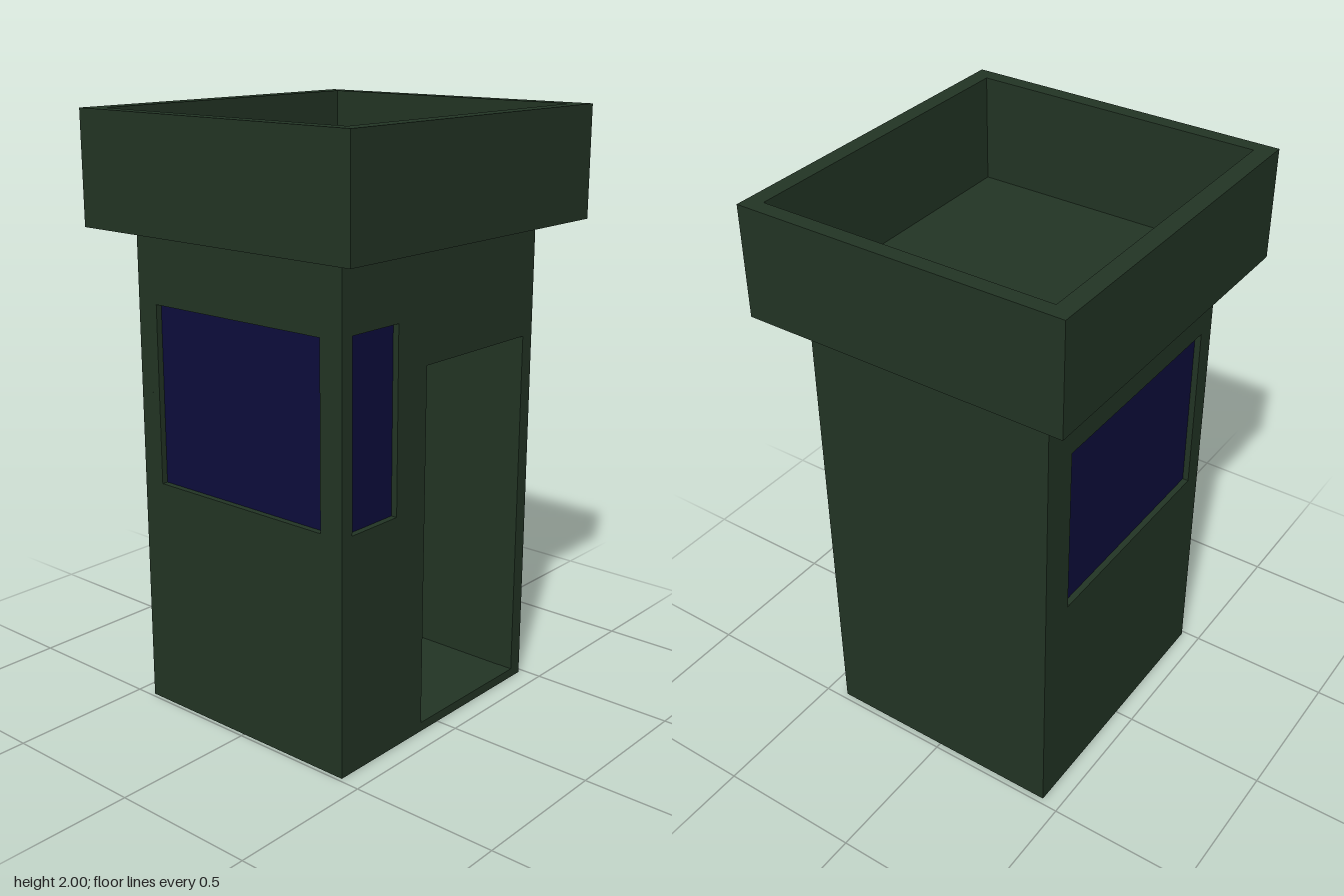
import * as THREE from 'three';

const T = 0.05; // wall thickness
const X0 = -0.487, X1 = 0.48, Z0 = -0.435, Z1 = 0.425; // tower body
const FLOOR = 0.03, DECK = 1.63, TOP = 2;

const rect = (Kind, u0, v0, u1, v1) => {
  const s = new Kind();
  s.moveTo(u0, v0);
  s.lineTo(u1, v0);
  s.lineTo(u1, v1);
  s.lineTo(u0, v1);
  s.closePath();
  return s;
};

// Rectangular plate with rectangular openings
const plate = (outer, holes, depth) => {
  const shape = rect(THREE.Shape, ...outer);
  holes.forEach(h => shape.holes.push(rect(THREE.Path, ...h)));
  return new THREE.ExtrudeGeometry(shape, { depth, bevelEnabled: false });
};

export function createModel() {
  const green = new THREE.MeshStandardMaterial({ color: 0x223424 });
  green.name = 'dark green';
  const blue = new THREE.MeshStandardMaterial({ color: 0x0c0c3c });
  blue.name = 'navy glass';

  const model = new THREE.Group();
  model.name = 'watchtower';

  const add = (name, geometry, material, x = 0, y = 0, z = 0, parent = model) => {
    const mesh = new THREE.Mesh(geometry, material);
    mesh.name = name;
    mesh.position.set(x, y, z);
    parent.add(mesh);
    return mesh;
  };

  // Box given by its two corners
  const slab = (name, x0, y0, z0, x1, y1, z1) =>
    add(name, new THREE.BoxGeometry(x1 - x0, y1 - y0, z1 - z0), green,
      (x0 + x1) / 2, (y0 + y1) / 2, (z0 + z1) / 2);

  // Wall with openings; a pane sits inside each glazed one
  const wall = (name, u0, u1, windows, doors = []) => {
    const group = new THREE.Group();
    group.name = name;
    add(name + 'Panel', plate([u0, FLOOR, u1, DECK], [...windows, ...doors], T), green, 0, 0, 0, group);
    windows.forEach(([a, b, c, d]) =>
      add(name + 'Glass', new THREE.BoxGeometry(c - a, d - b, 0.008), blue,
        (a + c) / 2, (b + d) / 2, T / 2, group));
    model.add(group);
    return group;
  };

  // Floor
  slab('floor', X0, 0, Z0, X1, FLOOR, Z1);

  // Front wall with doorway and narrow window, back wall with wide window
  wall('frontWall', X0, X1, [[-0.44, 0.79, -0.23, 1.4]], [[-0.09, FLOOR + 0.001, 0.43, 1.245]])
    .position.z = Z1 - T;
  wall('backWall', X0, X1, [[-0.42, 0.79, 0.355, 1.39]]).position.z = Z0;

  // Side walls: window on the right, blank on the left
  const right = wall('rightWall', Z0 + T, Z1 - T, [[-0.355, 0.79, 0.34, 1.39]]);
  right.rotation.y = -Math.PI / 2;
  right.position.x = X0 + T;
  const left = wall('leftWall', Z0 + T, Z1 - T, []);
  left.rotation.y = -Math.PI / 2;
  left.position.x = X1;

  // Open roof deck with parapet
  const inner = [-0.546, -0.492, 0.544, 0.495];
  const parapet = add('parapet', plate([-0.597, -0.553, 0.595, 0.55], [inner], TOP - DECK), green, 0, TOP, 0);
  parapet.rotation.x = Math.PI / 2;
  slab('roofDeck', inner[0], DECK, inner[1], inner[2], DECK + 0.01, inner[3]);

  return model;
}
